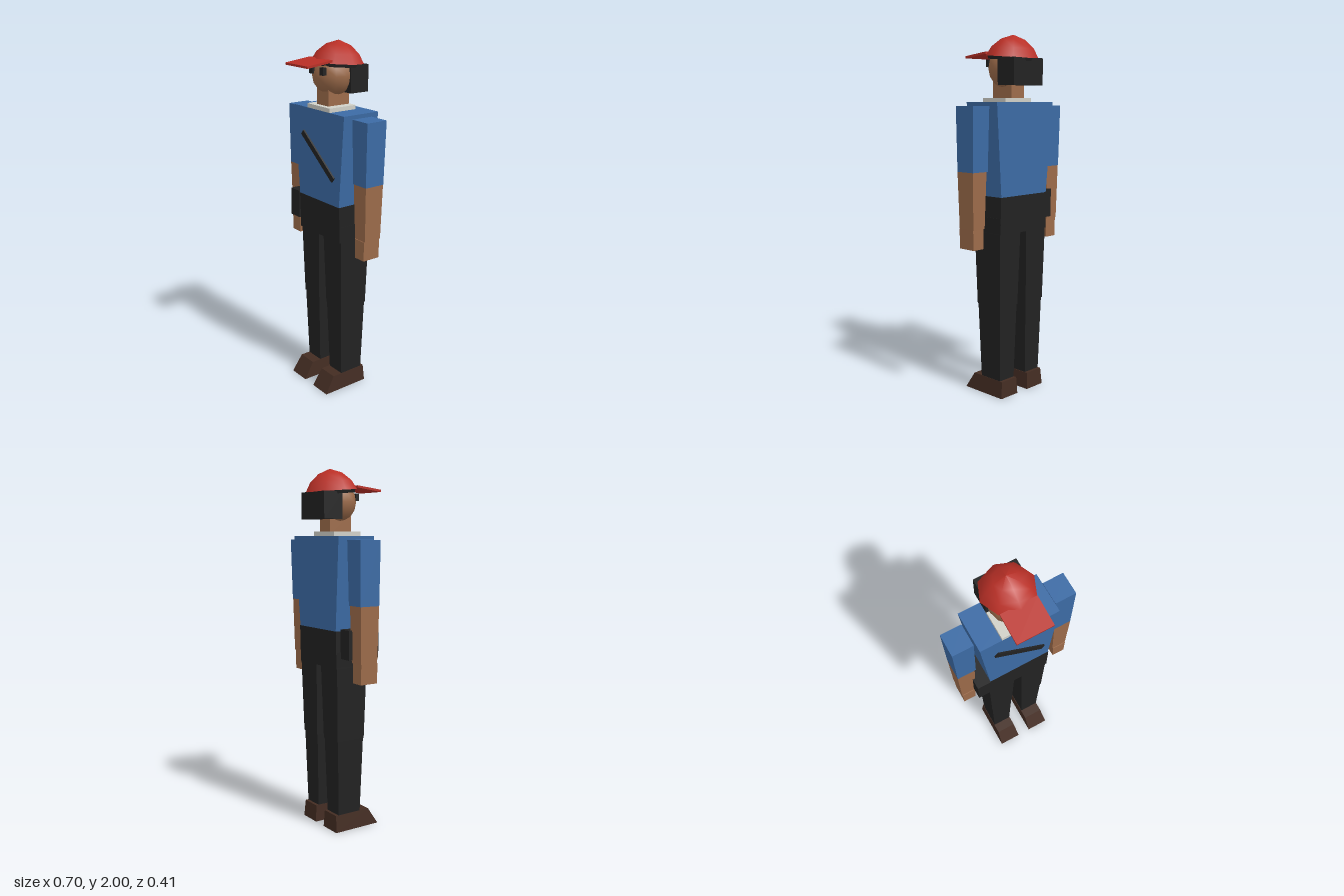
import * as THREE from 'three';

const mat = (name, color, side = THREE.FrontSide) => {
  const m = new THREE.MeshStandardMaterial({ color, side });
  m.name = name;
  return m;
};

export function createModel() {
  const root = new THREE.Group();
  root.name = 'figure';
  const shirt = mat('shirtBlue', 0x3c6ba5);
  const skin = mat('skin', 0x9c6b4a);
  const dark = mat('darkCloth', 0x222222);
  const brown = mat('shoeBrown', 0x432c22);
  const red = mat('capRed', 0xb92f26, THREE.DoubleSide);
  const pale = mat('collarPale', 0xd0d0c8);

  const add = (name, geometry, material) => {
    const mesh = new THREE.Mesh(geometry, material);
    mesh.name = name;
    root.add(mesh);
    return mesh;
  };

  // Box whose bottom and top rectangles are each given as [x0, x1, z0, z1]
  const block = (name, material, y0, y1, low, high = low, side = 1) => {
    const g = new THREE.BoxGeometry(1, 1, 1);
    const p = g.attributes.position;
    for (let i = 0; i < p.count; i++) {
      const [x0, x1, z0, z1] = p.getY(i) > 0 ? high : low;
      const [a, b] = side > 0 ? [x0, x1] : [-x1, -x0];
      p.setXYZ(i, p.getX(i) > 0 ? b : a, p.getY(i) > 0 ? y1 : y0, p.getZ(i) > 0 ? z1 : z0);
    }
    const flat = g.toNonIndexed();
    flat.computeVertexNormals();
    return add(name, flat, material);
  };

  // Trunk
  block('torso', shirt, 1.135, 1.64, [-0.18, 0.18, -0.155, 0.063], [-0.222, 0.222, -0.165, 0.065]);
  block('hips', dark, 0.93, 1.135, [-0.183, 0.183, -0.152, 0.058], [-0.183, 0.183, -0.156, 0.064]);
  block('collar', pale, 1.64, 1.663, [-0.1, 0.1, -0.11, 0.065]);
  block('neck', skin, 1.65, 1.76, [-0.05, 0.05, -0.105, 0.035]);
  block('pouch', dark, 0.985, 1.145, [-0.26, -0.18, -0.125, 0.07]);

  // Diagonal chest strap
  const strap = add('chestStrap', new THREE.BoxGeometry(0.35, 0.032, 0.01), dark);
  strap.position.set(0, 1.39, 0.07);
  strap.rotation.z = -0.67;

  // Arms and legs, mirrored
  for (const side of [1, -1]) {
    const s = side > 0 ? 'left' : 'right';
    block(s + 'Sleeve', shirt, 1.275, 1.62, [0.235, 0.342, -0.108, 0.012], [0.229, 0.348, -0.115, 0.014], side);
    block(s + 'Forearm', skin, 0.97, 1.275, [0.252, 0.335, -0.1, 0.006], [0.242, 0.342, -0.106, 0.012], side);
    block(s + 'Hand', skin, 0.86, 0.97, [0.257, 0.33, -0.096, 0.01], [0.255, 0.333, -0.096, 0.01], side);
    block(s + 'Thigh', dark, 0.52, 1.02, [0.035, 0.173, -0.138, 0.038], [0.02, 0.185, -0.15, 0.05], side);
    block(s + 'Shin', dark, 0.09, 0.52, [0.048, 0.159, -0.122, 0.022], [0.037, 0.17, -0.134, 0.035], side);
    block(s + 'Shoe', brown, 0, 0.095, [0.04, 0.17, -0.145, 0.14], [0.045, 0.161, -0.14, 0.08], side);
    block(s + 'Eye', dark, 1.83, 1.87, [0.032, 0.062, 0.058, 0.079], undefined, side);
  }

  // Head and hair
  const head = add('head', new THREE.SphereGeometry(0.115, 12, 8), skin);
  head.position.set(0, 1.823, -0.036);
  block('backHair', dark, 1.73, 1.875, [-0.115, 0.115, -0.183, -0.065]);
  const hairTop = add('hairTop', new THREE.CylinderGeometry(0.135, 0.13, 0.02, 8), dark);
  hairTop.position.set(0, 1.876, -0.062);
  hairTop.rotation.x = -0.08;

  // Faceted cap dome, tipped slightly back
  const profile = [[0.143, 0], [0.115, 0.05], [0.066, 0.093], [0, 0.117]].map(([r, y]) => new THREE.Vector2(r, y));
  const dome = add('capDome', new THREE.LatheGeometry(profile, 8), red);
  dome.position.set(0, 1.883, -0.062);
  dome.rotation.x = -0.08;

  // Cap visor, sloping down to the front
  const visor = add('capVisor', new THREE.BoxGeometry(0.196, 0.012, 0.16), red);
  visor.position.set(0, 1.896, 0.125);
  visor.rotation.x = 0.12;
  return root;
}
